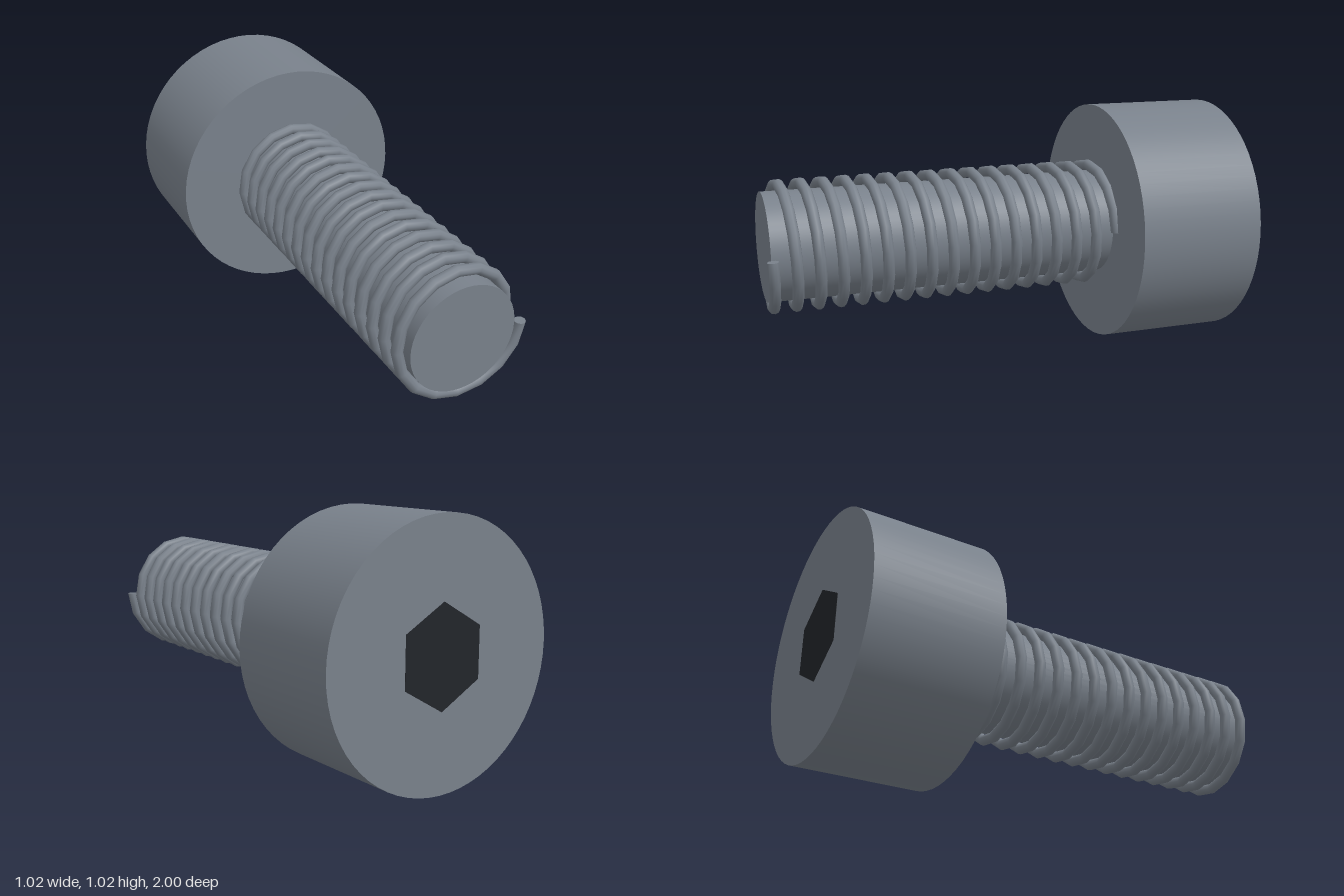
import * as THREE from 'three';

const AXIS_Y = 0.512;

// Helix around the z axis, starting on the +x side of the tip and running to the head
class Helix extends THREE.Curve {
  constructor(radius, zStart, pitch, turns) {
    super();
    Object.assign(this, { radius, zStart, pitch, turns });
  }
  getPoint(t, target = new THREE.Vector3()) {
    const a = -t * this.turns * Math.PI * 2;
    return target.set(
      this.radius * Math.cos(a),
      this.radius * Math.sin(a),
      this.zStart - t * this.turns * this.pitch
    );
  }
}

export function createModel() {
  const model = new THREE.Group();
  model.name = 'socketHeadScrew';
  const steel = new THREE.MeshStandardMaterial({ color: 0x79818b });
  const threadSteel = new THREE.MeshStandardMaterial({ color: 0x79818b, side: THREE.DoubleSide });
  const dark = new THREE.MeshStandardMaterial({ color: 0x22252a });

  const add = (name, geometry, material) => {
    const mesh = new THREE.Mesh(geometry, material);
    mesh.name = name;
    mesh.position.y = AXIS_Y;
    model.add(mesh);
    return mesh;
  };

  // Cylinder lying along z between two depths
  const rod = (name, radius, z0, z1, sides, material) => {
    const geometry = new THREE.CylinderGeometry(radius, radius, z1 - z0, sides);
    geometry.rotateX(Math.PI / 2).translate(0, 0, (z0 + z1) / 2);
    return add(name, geometry, material);
  };

  rod('head', 0.512, -1, -0.46, 64, steel);
  rod('shaft', 0.223, -0.47, 0.982, 48, steel);

  // Hexagonal drive, flush with the back of the head, corners up and down
  const drive = rod('hexDrive', 0.2, -1.001, -0.75, 6, dark);
  drive.geometry.computeBoundingBox();

  // Thread: sixteen turns, sixteen straight pieces per turn
  const turns = 16;
  const steps = turns * 16;
  const helix = new Helix(0.25, 0.979, 0.09, turns);
  helix.arcLengthDivisions = steps;
  add('thread', new THREE.TubeGeometry(helix, steps, 0.023, 10, false), threadSteel);

  // Small discs closing the two thread ends
  for (const [t, sign] of [[0, -1], [1, 1]]) {
    const cap = add(t ? 'threadEndCap' : 'threadStartCap', new THREE.CircleGeometry(0.023, 10), threadSteel);
    cap.position.add(helix.getPoint(t));
    cap.quaternion.setFromUnitVectors(
      new THREE.Vector3(0, 0, 1),
      helix.getTangent(t).multiplyScalar(sign)
    );
  }

  return model;
}
